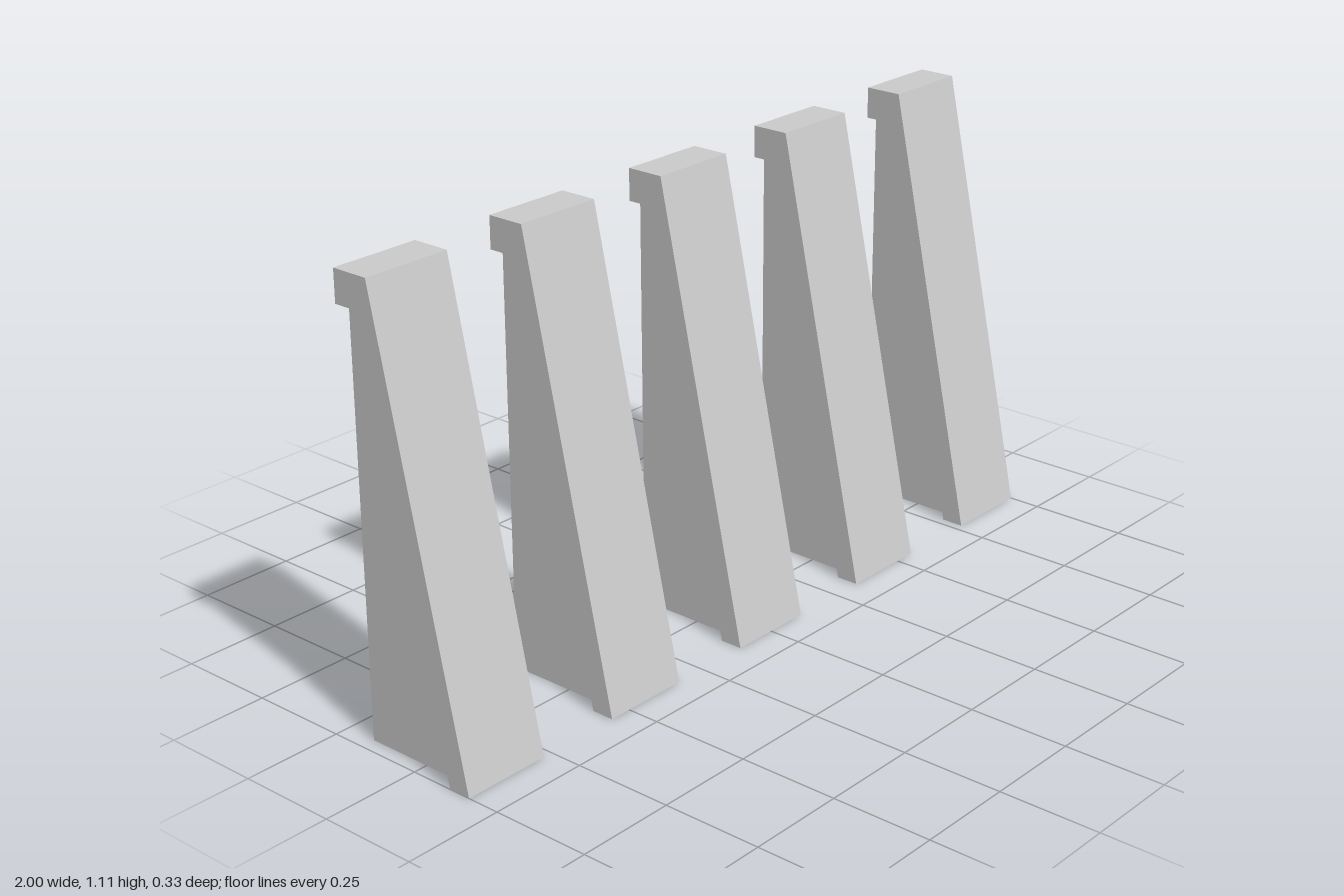
import * as THREE from 'three';

const W = 0.113;      // half width of the sloping face and cap
const C = 0.077;      // half width of the narrower web
const BACK = -0.167;  // flat rear plane
const CAP_Y = 1.03, TOP_Y = 1.108;

const frontZ = (y) => 0.167 - (0.239 * y) / TOP_Y;
const ledgeZ = (y) => 0.11 - (0.22 * y) / CAP_Y;

// T-shaped section: wide sloping flange in front, narrow web behind
function teeSection(y) {
  const f = frontZ(y), s = ledgeZ(y);
  return [[-W, f], [W, f], [W, s], [C, s], [C, BACK], [-C, BACK], [-C, s], [-W, s]]
    .map(([x, z]) => [x, y, z]);
}

// Full-width rectangular section of the cap
function capSection(y) {
  const f = frontZ(y);
  return [[-W, f], [W, f], [W, BACK], [-W, BACK]].map(([x, z]) => [x, y, z]);
}

function skin(lower, upper) {
  return lower.map((p, i) => {
    const j = (i + 1) % lower.length;
    return [p, lower[j], upper[j], upper[i]];
  });
}

function quadGeometry(quads) {
  const positions = quads.flatMap(([a, b, c, d]) => [a, b, c, a, c, d].flat());
  const geometry = new THREE.BufferGeometry();
  geometry.setAttribute('position', new THREE.Float32BufferAttribute(positions, 3));
  geometry.computeVertexNormals();
  return geometry;
}

export function createModel() {
  const group = new THREE.Group();
  group.name = 'buttressRow';
  const material = new THREE.MeshStandardMaterial({
    color: 0xcccccc, flatShading: true, side: THREE.DoubleSide,
  });

  // Hollow shaft, open at the foot
  const shaft = quadGeometry(skin(teeSection(0), teeSection(CAP_Y)));

  // Cap with its top and the two overhanging undersides
  const s = ledgeZ(CAP_Y);
  const underside = (x0, x1) => [
    [x0, CAP_Y, s], [x0, CAP_Y, BACK], [x1, CAP_Y, BACK], [x1, CAP_Y, s],
  ];
  const cap = quadGeometry([
    ...skin(capSection(CAP_Y), capSection(TOP_Y)),
    capSection(TOP_Y),
    underside(C, W),
    underside(-W, -C),
  ]);

  // Five evenly spaced buttresses
  for (let i = -2; i <= 2; i++) {
    const buttress = new THREE.Group();
    buttress.name = `buttress${i + 3}`;
    for (const [name, geometry] of [['shaft', shaft], ['cap', cap]]) {
      const mesh = new THREE.Mesh(geometry, material);
      mesh.name = name;
      buttress.add(mesh);
    }
    buttress.position.x = i * 0.4435;
    group.add(buttress);
  }
  return group;
}
